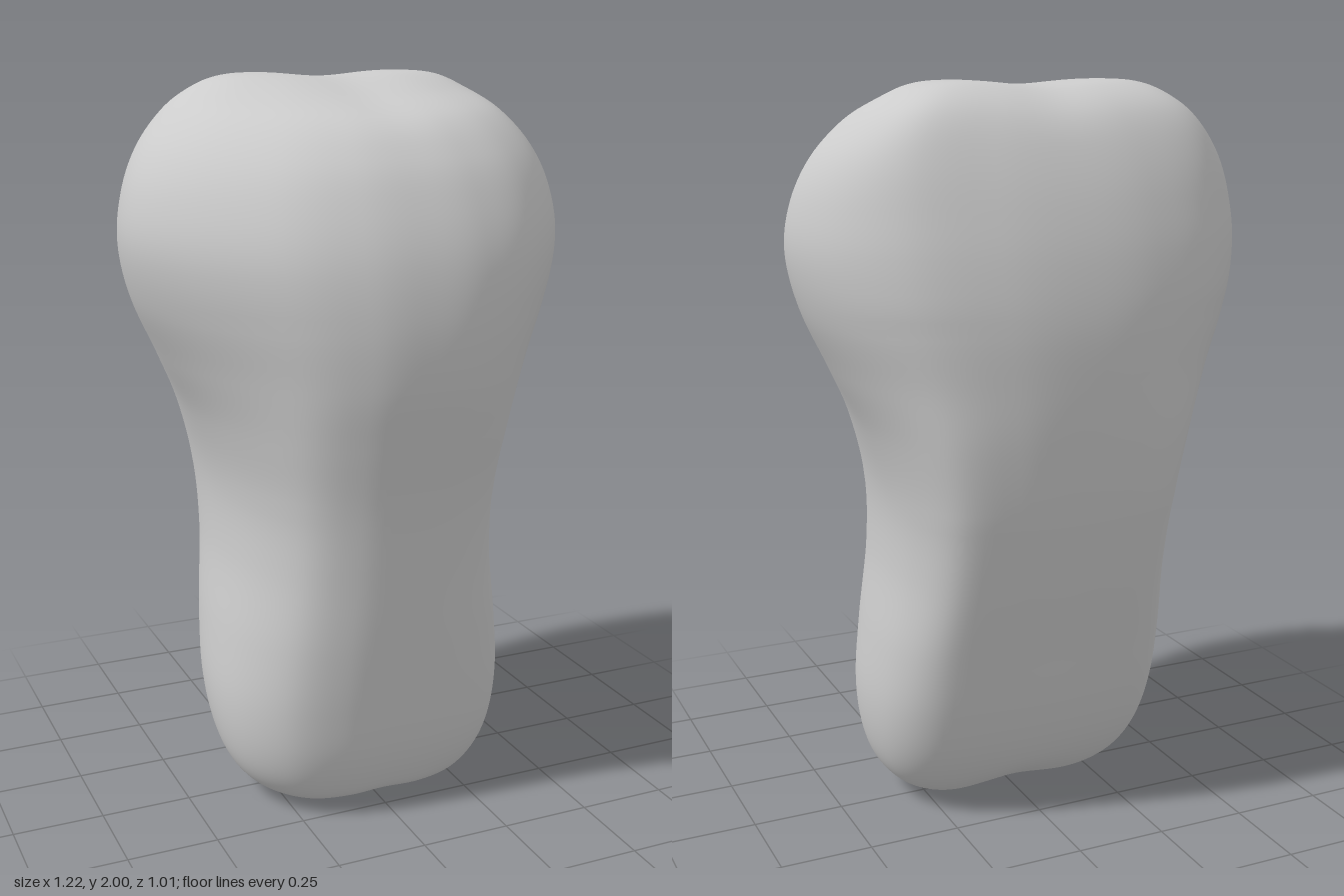
import * as THREE from 'three';

// Half cross-sections, front to back: [x / halfWidth, v], v > 0 toward the front, v < 0 toward the back
const SECTIONS = [
  // foot end: boxy, with two soft front corners
  [[0, 0.98], [0.36, 0.98], [0.69, 0.83], [0.92, 0.46], [1, 0], [0.94, -0.54], [0.73, -0.87], [0.36, -0.98], [0, -1]],
  // shaft: gently rounded front, full back corners
  [[0, 0.99], [0.38, 0.96], [0.71, 0.81], [0.93, 0.44], [1, 0], [0.97, -0.52], [0.79, -0.89], [0.4, -0.99], [0, -1]],
  // head end: rounded triangular front
  [[0, 1], [0.27, 0.97], [0.56, 0.82], [0.85, 0.44], [1, 0], [0.93, -0.48], [0.7, -0.82], [0.35, -0.965], [0, -1]],
  // crown: squarer back corners
  [[0, 1], [0.28, 0.97], [0.58, 0.8], [0.87, 0.45], [1, 0], [0.97, -0.52], [0.8, -0.88], [0.4, -0.99], [0, -1]],
];

// Stations from bottom to top: y, half width, front z, back z, z of widest point, section blend (0 to 3)
const ROWS = [
  [0, 0, 0.04, 0.04, 0.04, 0],
  [0, 0.11, 0.1, -0.01, 0.04, 0],
  [0, 0.2, 0.16, -0.05, 0.04, 0],
  [0.035, 0.3, 0.235, -0.11, 0.04, 0],
  [0.1, 0.368, 0.28, -0.18, 0.04, 0],
  [0.2, 0.408, 0.315, -0.245, 0.03, 0],
  [0.34, 0.424, 0.34, -0.3, 0.01, 0.1],
  [0.52, 0.41, 0.367, -0.35, -0.02, 0.5],
  [0.73, 0.382, 0.395, -0.407, -0.05, 0.9],
  [0.92, 0.385, 0.425, -0.452, -0.08, 1],
  [1.1, 0.43, 0.463, -0.48, -0.07, 1.25],
  [1.26, 0.503, 0.495, -0.496, -0.05, 1.75],
  [1.42, 0.577, 0.505, -0.502, -0.035, 2],
  [1.57, 0.61, 0.488, -0.487, -0.025, 2],
  [1.7, 0.594, 0.443, -0.457, -0.035, 2.1],
  [1.81, 0.545, 0.378, -0.418, -0.06, 2.4],
  [1.9, 0.467, 0.275, -0.372, -0.09, 2.8],
  [1.955, 0.39, 0.11, -0.325, -0.12, 3],
  [1.99, 0.31, -0.005, -0.267, -0.13, 3],
  [2, 0.2, -0.07, -0.21, -0.135, 3],
  [2, 0, -0.135, -0.135, -0.135, 3],
];

const AROUND = 112;
const STEPS = 7;

// Smooth interpolation of all station values
function station(t) {
  const i = Math.min(Math.floor(t), ROWS.length - 2);
  const f = t - i;
  const row = (k) => ROWS[THREE.MathUtils.clamp(k, 0, ROWS.length - 1)];
  const [a, b, c, d] = [row(i - 1), row(i), row(i + 1), row(i + 2)];
  const f2 = f * f, f3 = f2 * f;
  return b.map((v, k) => {
    const m0 = (c[k] - a[k]) / 2;
    const m1 = (d[k] - v) / 2;
    return (2 * f3 - 3 * f2 + 1) * v + (f3 - 2 * f2 + f) * m0 + (3 * f2 - 2 * f3) * c[k] + (f3 - f2) * m1;
  });
}

// Closed, mirrored outline sampled as unit points
function outline(section) {
  const left = section.map(([x, v]) => new THREE.Vector3(x, 0, v));
  const right = section.slice(1, -1).reverse().map(([x, v]) => new THREE.Vector3(-x, 0, v));
  const curve = new THREE.CatmullRomCurve3([...left, ...right], true, 'catmullrom', 0.5);
  return Array.from({ length: AROUND }, (_, j) => curve.getPoint(j / AROUND));
}

// Shallow saddles between the paired lobes at both ends
function saddle(x, y, z) {
  const { smoothstep } = THREE.MathUtils;
  const low = (1 - smoothstep(y, 0, 0.15)) * (1 - smoothstep(z, 0.16, 0.27));
  const high = smoothstep(y, 1.85, 2);
  return Math.exp(-((x / 0.13) ** 2)) * (0.022 * low - 0.015 * high);
}

function buildBody() {
  const outlines = SECTIONS.map(outline);
  const rings = (ROWS.length - 1) * STEPS;
  const positions = [];
  const indices = [];
  for (let i = 0; i <= rings; i++) {
    const [y, w, front, back, mid, blend] = station(i / STEPS);
    const k = THREE.MathUtils.clamp(Math.floor(blend), 0, SECTIONS.length - 2);
    for (let j = 0; j < AROUND; j++) {
      const p = outlines[k][j].clone().lerp(outlines[k + 1][j], blend - k);
      const x = p.x * w;
      const z = mid + p.z * (p.z > 0 ? front - mid : mid - back);
      positions.push(x, y + saddle(x, y, z), z);
      if (i === rings) continue;
      const a = i * AROUND + j;
      const b = i * AROUND + ((j + 1) % AROUND);
      if (i > 0) indices.push(a, b, b + AROUND);
      if (i < rings - 1) indices.push(a, b + AROUND, a + AROUND);
    }
  }
  const geometry = new THREE.BufferGeometry();
  geometry.setAttribute('position', new THREE.Float32BufferAttribute(positions, 3));
  geometry.setIndex(indices);
  geometry.computeVertexNormals();
  // pole points share one normal per end
  for (let j = 0; j < AROUND; j++) {
    geometry.attributes.normal.setXYZ(j, 0, -1, 0);
    geometry.attributes.normal.setXYZ(rings * AROUND + j, 0, 1, 0);
  }
  return geometry;
}

export function createModel() {
  const group = new THREE.Group();
  group.name = 'bone';
  const body = new THREE.Mesh(buildBody(), new THREE.MeshStandardMaterial({ color: 0xcccccc }));
  body.name = 'boneBody';
  group.add(body);
  return group;
}
